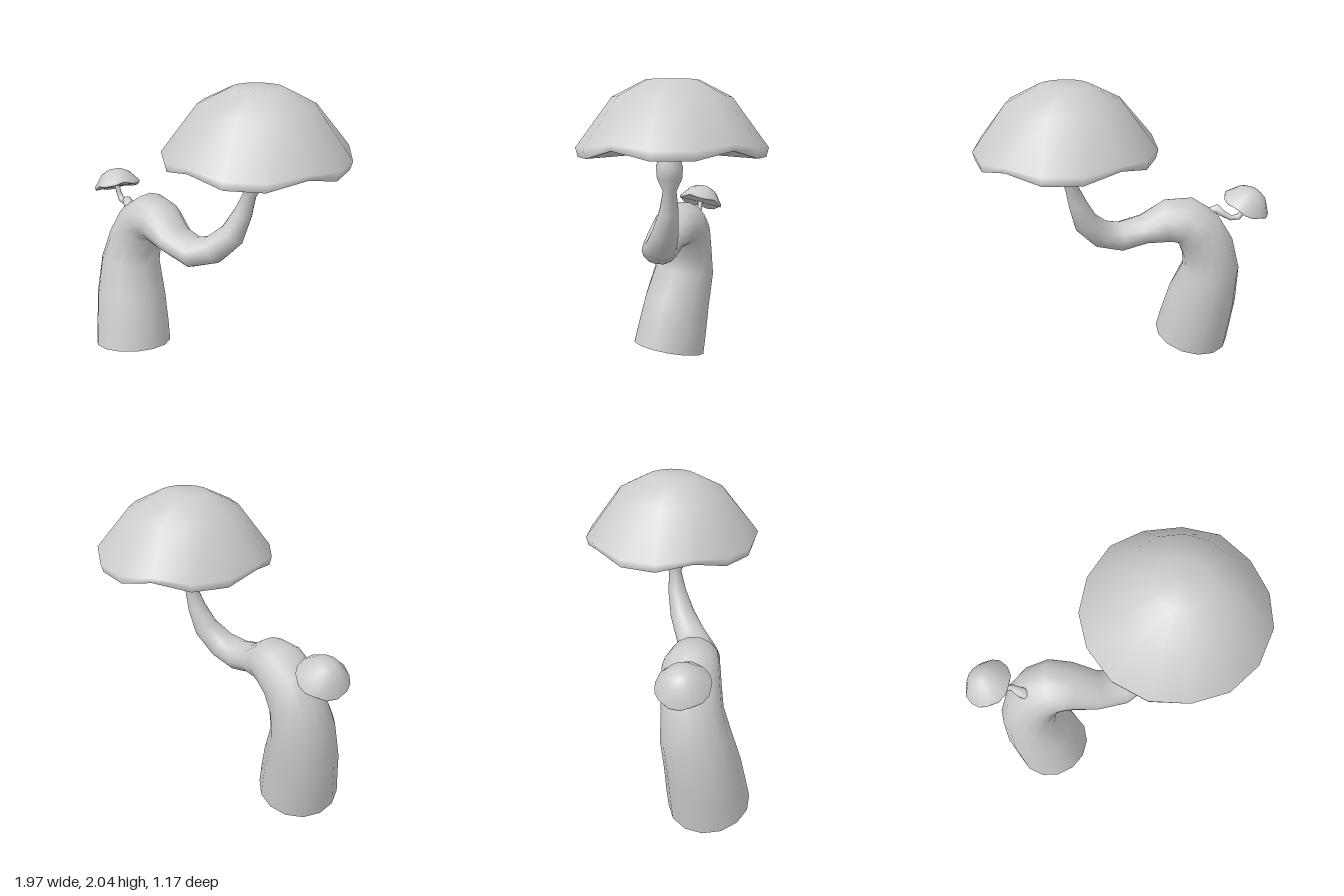
import * as THREE from 'three';

const material = new THREE.MeshStandardMaterial({ color: 0xcccccc, side: THREE.DoubleSide });

// Skin a list of closed rings (equal point counts) with smooth quads.
function loft(name, rings) {
  const n = rings[0].length;
  const index = [];
  for (let j = 0; j < rings.length - 1; j++) {
    for (let k = 0; k < n; k++) {
      const a = j * n + k, b = j * n + (k + 1) % n;
      index.push(a, b, b + n, a, b + n, a + n);
    }
  }
  const geometry = new THREE.BufferGeometry().setFromPoints(rings.flat());
  geometry.setIndex(index);
  geometry.computeVertexNormals();
  const mesh = new THREE.Mesh(geometry, material);
  mesh.name = name;
  return mesh;
}

// Sweep elliptical sections along a path; each entry is [x, y, z, radius, depthRadius].
function sweep(name, sections, sides) {
  const centres = sections.map(s => new THREE.Vector3(s[0], s[1], s[2]));
  const last = centres.length - 1;
  return loft(name, sections.map((s, i) => {
    const tangent = centres[Math.min(i + 1, last)].clone()
      .sub(centres[Math.max(i - 1, 0)]).normalize();
    const depth = new THREE.Vector3(0, 0, 1).addScaledVector(tangent, -tangent.z).normalize();
    const across = new THREE.Vector3().crossVectors(tangent, depth);
    return Array.from({ length: sides }, (_, k) => {
      const a = k / sides * Math.PI * 2;
      return centres[i].clone()
        .addScaledVector(across, Math.sin(a) * s[3])
        .addScaledVector(depth, Math.cos(a) * (s[4] ?? s[3]));
    });
  }));
}

// Mushroom cap, rim at y = 0, with every third rim corner lifted into a wave.
function makeCap(name, radius, height) {
  const sides = 15;
  // ring: [radius, height, lift of the wave]
  const ring = ([r, y, lift]) => Array.from({ length: sides }, (_, k) => {
    const a = (k * 24 - 6) * Math.PI / 180;
    return new THREE.Vector3(Math.sin(a) * r * radius, (y + (k % 3 ? 0 : lift)) * height, Math.cos(a) * r * radius);
  });
  const cap = new THREE.Group();
  cap.name = name;
  cap.add(
    loft(name + 'Top', [[0.975, 0, 0.11], [1, 0.12, 0.07], [0.62, 0.765, 0], [0.28, 0.985, 0], [0, 1, 0]].map(ring)),
    loft(name + 'Underside', [[0, 0.06, 0], [0.975, 0, 0.11]].map(ring))
  );
  return cap;
}

export function createModel() {
  const model = new THREE.Group();
  model.name = 'mushroom';

  // Thick trunk that bends over into a thin rising stalk with a bulb under the cap
  model.add(sweep('trunk', [
    [-0.525, 0.02, 0.225, 0.275],
    [-0.55, 0.18, 0.20, 0.265],
    [-0.585, 0.38, 0.17, 0.25],
    [-0.625, 0.63, 0.12, 0.2, 0.225],
    [-0.585, 0.80, 0.10, 0.185, 0.195],
    [-0.515, 0.93, 0.095, 0.175, 0.19],
    [-0.42, 1.0, 0.10, 0.165, 0.185],
    [-0.31, 0.995, 0.125, 0.15, 0.165],
    [-0.14, 0.925, 0.165, 0.095, 0.14],
    [0.03, 0.88, 0.165, 0.1, 0.125],
    [0.165, 0.925, 0.125, 0.095, 0.105],
    [0.275, 1.04, 0.07, 0.085],
    [0.33, 1.19, 0.035, 0.062],
    [0.37, 1.32, 0.022, 0.043],
    [0.382, 1.40, 0.02, 0.08],
    [0.385, 1.47, 0.02, 0.085],
    [0.39, 1.56, 0.02, 0.055]
  ], 14));

  // Large cap
  const cap = makeCap('cap', 0.587, 0.465);
  cap.position.set(0.395, 1.535, 0);
  model.add(cap);

  // Small sprout: curled stem and tilted cap
  model.add(sweep('sproutStem', [
    [-0.60, 1.03, 0.13, 0.04],
    [-0.65, 1.068, 0.11, 0.034],
    [-0.685, 1.045, 0.07, 0.022],
    [-0.735, 1.02, 0.05, 0.02],
    [-0.785, 1.03, 0.04, 0.022],
    [-0.815, 1.07, 0.035, 0.018],
    [-0.83, 1.13, 0.035, 0.018]
  ], 8));
  const sproutCap = makeCap('sproutCap', 0.168, 0.135);
  sproutCap.position.set(-0.825, 1.11, 0.035);
  sproutCap.quaternion.setFromUnitVectors(
    new THREE.Vector3(0, 1, 0), new THREE.Vector3(-0.36, 0.91, -0.17).normalize());
  model.add(sproutCap);

  return model;
}
